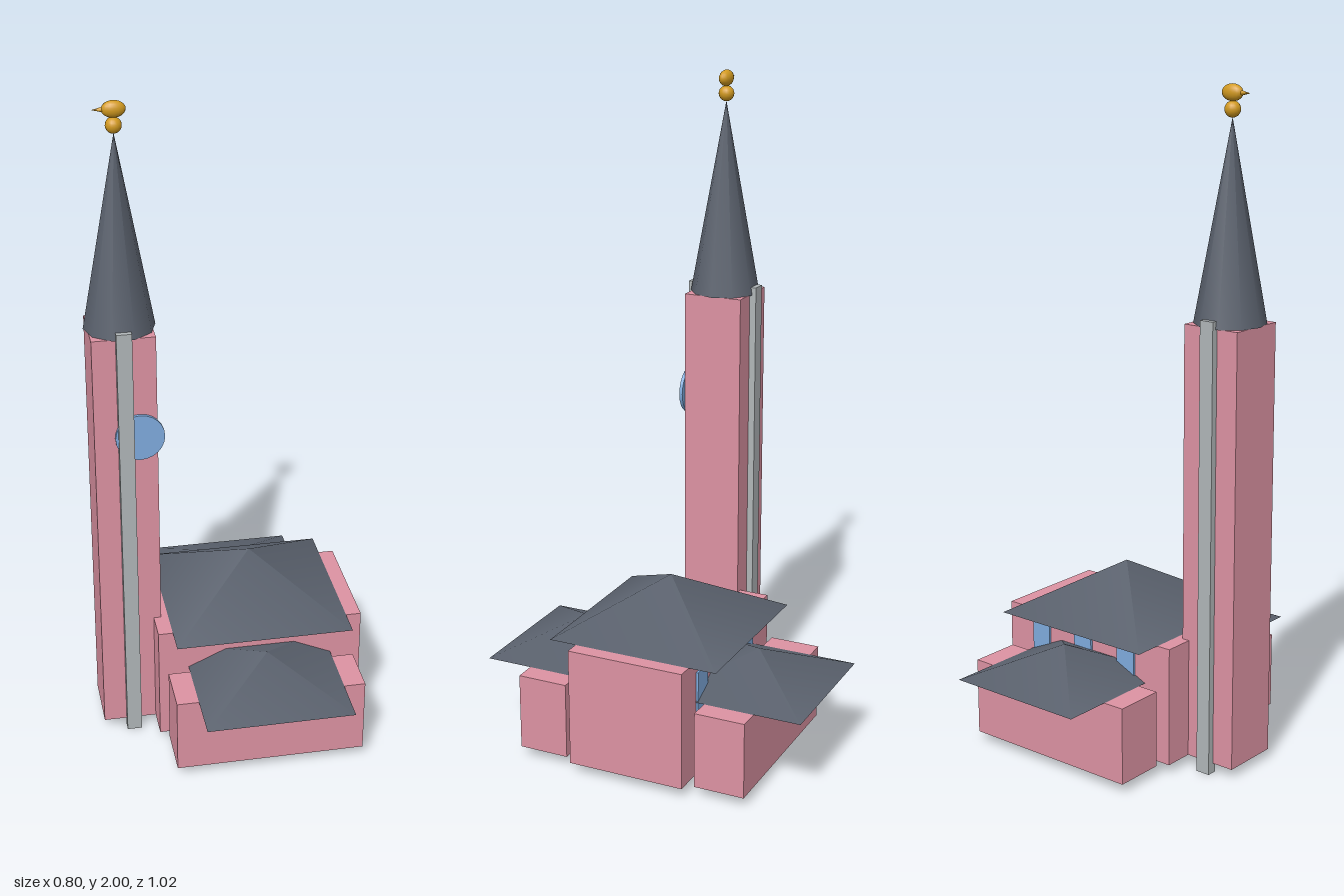
import * as THREE from 'three';

const mat = (color) => new THREE.MeshStandardMaterial({ color });

export function createModel() {
  const model = new THREE.Group();
  const wall = mat(0xdc92a2), slate = mat(0x5a616d), glass = mat(0x7fabdd);
  const stone = mat(0xb0b6b8), gold = mat(0xd29a20);

  const add = (name, geometry, material, x, y, z) => {
    const mesh = new THREE.Mesh(geometry, material);
    mesh.name = name;
    mesh.position.set(x, y, z);
    model.add(mesh);
    return mesh;
  };
  // Box given by its extents along each axis
  const block = (name, material, [x0, x1], [y0, y1], [z0, z1]) =>
    add(name, new THREE.BoxGeometry(x1 - x0, y1 - y0, z1 - z0), material,
      (x0 + x1) / 2, (y0 + y1) / 2, (z0 + z1) / 2);
  // Square pyramid roof with its eaves at height y
  const roof = (name, half, height, y, z) =>
    add(name, new THREE.ConeGeometry(half * Math.SQRT2, height, 4).rotateY(Math.PI / 4),
      slate, 0.084, y + height / 2, z);

  // Nave with a pyramid roof
  block('nave', wall, [-0.228, 0.398], [0.03, 0.394], [-0.183, 0.183]);
  roof('naveRoof', 0.268, 0.156, 0.394, 0);

  // Side aisles, front and back
  for (const s of [1, -1]) {
    const side = s > 0 ? 'front' : 'back';
    block(side + 'Aisle', wall, [-0.203, 0.37], [0.03, 0.265], s > 0 ? [0.21, 0.366] : [-0.366, -0.21]);
    roof(side + 'AisleRoof', 0.221, 0.1, 0.265, s * 0.289);
    // Stone strip running up the tower
    block(side + 'TowerPilaster', stone, [-0.32, -0.275], [0, 1.36], s > 0 ? [0.08, 0.111] : [-0.111, -0.08]);
  }

  // Tall windows on the back wall of the nave
  for (const i of [-1, 0, 1]) {
    const x = 0.1 + i * 0.167;
    block('naveWindow', glass, [x - 0.033, x + 0.033], [0.226, 0.358], [-0.19, -0.178]);
  }

  // Bell tower with clock and spire
  block('tower', wall, [-0.389, -0.205], [0.03, 1.337], [-0.091, 0.091]);
  add('clock', new THREE.CylinderGeometry(0.072, 0.072, 0.01, 24).rotateX(Math.PI / 2), glass, -0.257, 1.025, 0.096);
  add('spire', new THREE.ConeGeometry(0.104, 0.573, 10).rotateY(Math.PI / 2), slate, -0.297, 1.6235, 0);

  // Gilded ball and weathercock, beak towards -x
  add('finialBall', new THREE.SphereGeometry(0.023, 16, 12), gold, -0.297, 1.931, 0);
  add('weathercockBody', new THREE.SphereGeometry(1, 16, 12).scale(0.034, 0.024, 0.019), gold, -0.296, 1.976, 0);
  add('weathercockBeak', new THREE.ConeGeometry(0.009, 0.036, 8).rotateZ(Math.PI / 2), gold, -0.338, 1.976, 0);

  return model;
}
